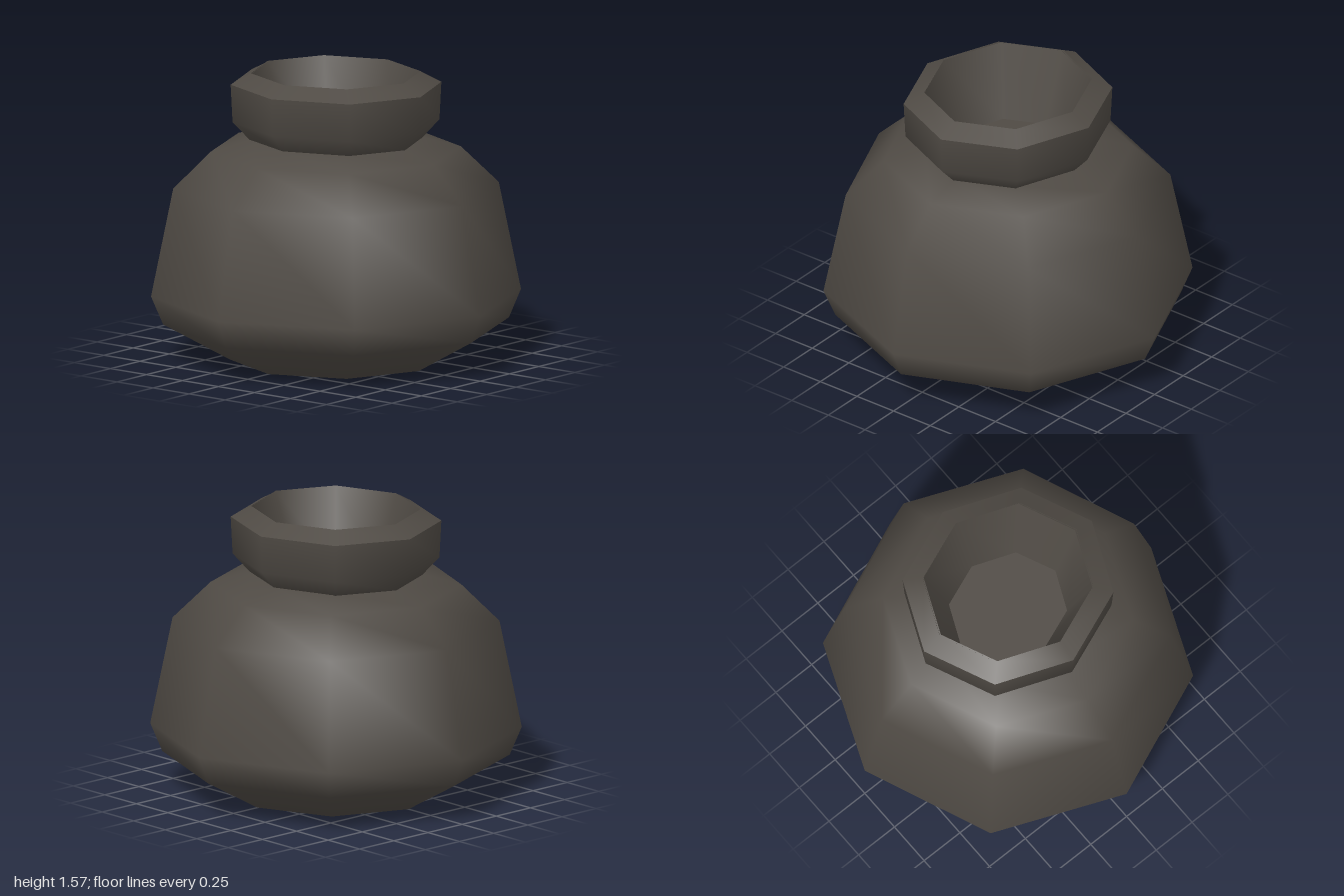
import * as THREE from 'three';

const SIDES = 8;

export function createModel() {
  const model = new THREE.Group();
  model.name = 'pot';

  const clay = new THREE.MeshStandardMaterial({ color: 0x4f4a44 });
  clay.name = 'darkClay';

  // Octagonal turned part; profile is a list of [radius, height]
  const turned = (name, profile, depthScale = 1) => {
    const points = profile.map(([r, y]) => new THREE.Vector2(r, y));
    const geometry = new THREE.LatheGeometry(points, SIDES);
    geometry.scale(1, 1, depthScale);
    const mesh = new THREE.Mesh(geometry, clay);
    mesh.name = name;
    model.add(mesh);
  };

  // Round-bellied body, smooth from base to shoulder
  turned('body', [
    [0, 0], [0.575, 0], [0.935, 0.2], [1, 0.355],
    [0.88, 0.945], [0.675, 1.145], [0.45, 1.205],
  ]);

  // Neck, slightly deeper than wide, with sharp edges between its parts
  const deep = 1.065;
  turned('neck', [[0.45, 1.2], [0.54, 1.3], [0.55, 1.505]], deep);
  turned('rim', [[0.55, 1.505], [0.44, 1.565]], deep);
  turned('innerWall', [[0.44, 1.565], [0.305, 1.17]], deep + 0.02);
  turned('innerFloor', [[0.305, 1.17], [0, 1.17]], deep + 0.02);

  return model;
}
